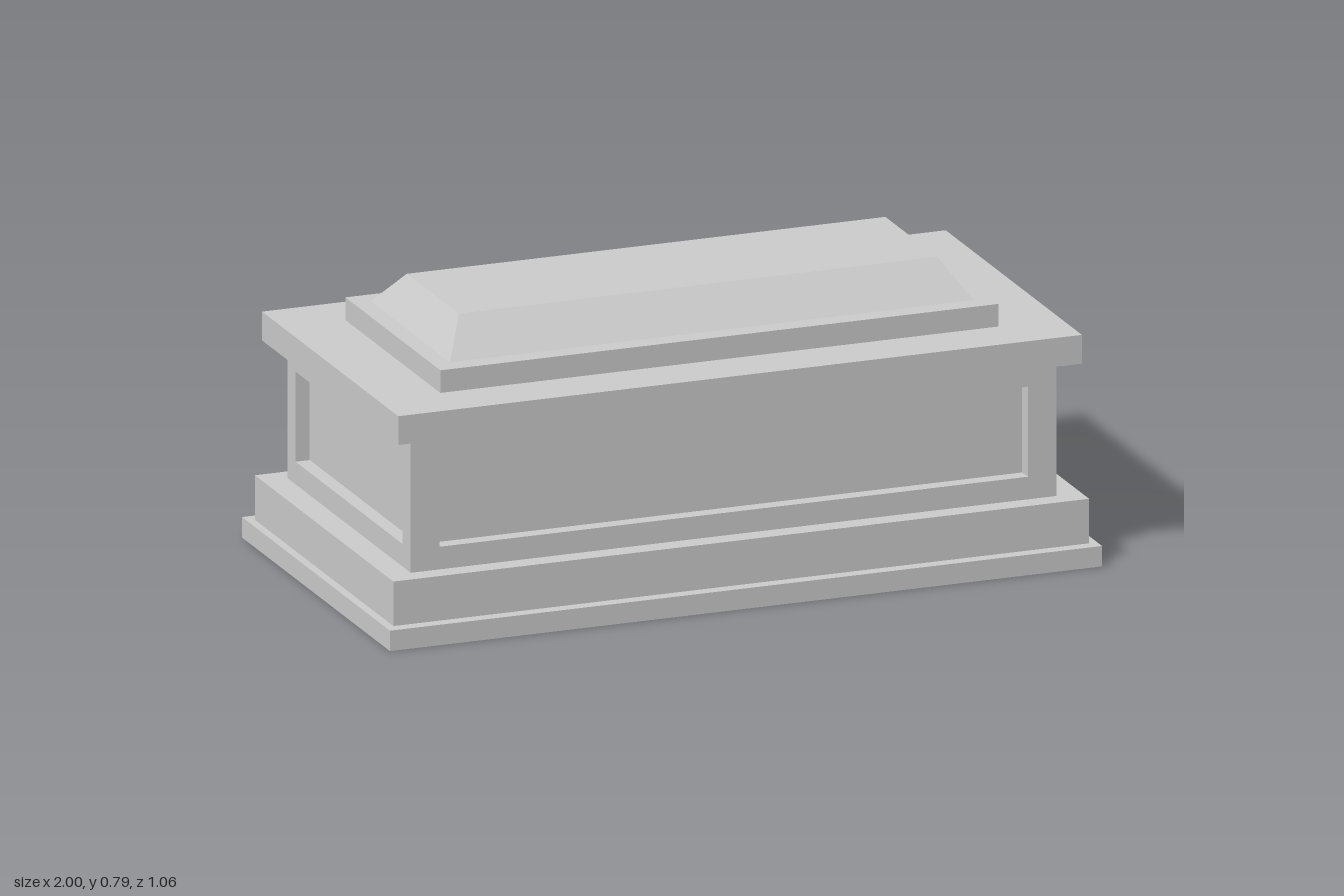
import * as THREE from 'three';

const material = new THREE.MeshStandardMaterial({ color: 0xcccccc });

// Rectangular tier from half sizes, optionally tapering to a smaller top
function tier(name, hx, hz, y0, y1, topX = hx, topZ = hz) {
  const geo = new THREE.BoxGeometry(2 * hx, y1 - y0, 2 * hz);
  geo.translate(0, (y0 + y1) / 2, 0);
  const p = geo.attributes.position;
  const mid = (y0 + y1) / 2;
  for (let i = 0; i < p.count; i++) {
    if (p.getY(i) > mid) {
      p.setX(i, Math.sign(p.getX(i)) * topX);
      p.setZ(i, Math.sign(p.getZ(i)) * topZ);
    }
  }
  geo.computeVertexNormals();
  const mesh = new THREE.Mesh(geo, material);
  mesh.name = name;
  return mesh;
}

function rectangle(target, hw, y0, y1) {
  target.moveTo(-hw, y0);
  target.lineTo(hw, y0);
  target.lineTo(hw, y1);
  target.lineTo(-hw, y1);
  target.closePath();
  return target;
}

// Wall frame around a sunken panel, its ends mitred to meet the neighbours
function panelFrame(name, halfWidth, openHalf, distance, depth, angle) {
  const shape = rectangle(new THREE.Shape(), halfWidth, BODY_Y0, BODY_Y1);
  shape.holes.push(rectangle(new THREE.Path(), openHalf, PANEL_Y0, PANEL_Y1));
  const geo = new THREE.ExtrudeGeometry(shape, { depth, bevelEnabled: false });
  const p = geo.attributes.position;
  for (let i = 0; i < p.count; i++) {
    const x = p.getX(i);
    if (p.getZ(i) < depth / 2 && Math.abs(x) > openHalf + 0.001) {
      p.setX(i, Math.sign(x) * (halfWidth - depth));
    }
  }
  geo.computeVertexNormals();
  geo.translate(0, 0, distance - depth);
  geo.rotateY(angle);
  const mesh = new THREE.Mesh(geo, material);
  mesh.name = name;
  return mesh;
}

const BODY_Y0 = 0.178, BODY_Y1 = 0.548;
const PANEL_Y0 = 0.24, PANEL_Y1 = 0.487;

export function createModel() {
  const model = new THREE.Group();
  model.name = 'tomb';

  // Stepped base
  model.add(tier('baseSlab', 1, 0.528, 0, 0.056));
  model.add(tier('plinth', 0.977, 0.494, 0.056, BODY_Y0));

  // Body: core carrying the sunken panels, with a frame on each side
  const bx = 0.907, bz = 0.44, depth = 0.04;
  const body = new THREE.Group();
  body.name = 'body';
  body.add(tier('sunkenPanels', bx - depth, bz - depth, BODY_Y0, BODY_Y1));
  body.add(panelFrame('frontFrame', bx, 0.826, bz, depth, 0));
  body.add(panelFrame('leftFrame', bz, 0.382, bx, depth, Math.PI / 2));
  body.add(panelFrame('backFrame', bx, 0.826, bz, depth, Math.PI));
  body.add(panelFrame('rightFrame', bz, 0.382, bx, depth, -Math.PI / 2));
  model.add(body);

  // Cornice and lid
  model.add(tier('cornice', 0.96, 0.486, BODY_Y1, 0.627));
  model.add(tier('lidStep', 0.784, 0.339, 0.627, 0.689));
  model.add(tier('slopedLid', 0.735, 0.284, 0.689, 0.786, 0.672, 0.185));

  return model;
}
